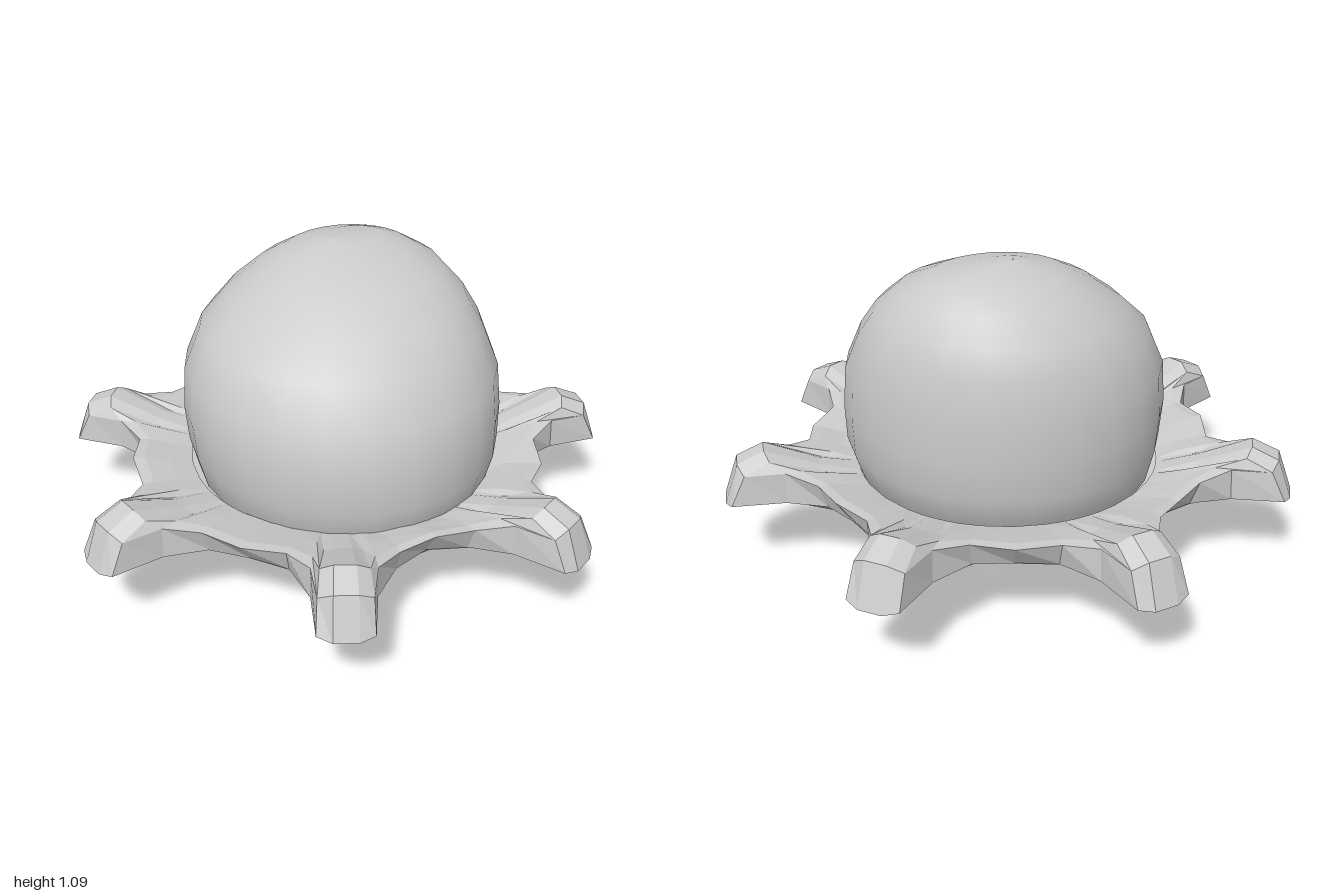
import * as THREE from 'three';

const CENTRE_Z = -0.05;

// Joins closed rings of [x, y, z] points, listed from the bottom up, facing outward.
function loft(rings) {
  const n = rings[0].length, index = [];
  for (let k = 0; k < rings.length - 1; k++) {
    for (let i = 0; i < n; i++) {
      const j = (i + 1) % n, a = k * n, b = a + n;
      index.push(a + i, a + j, b + i, a + j, b + j, b + i);
    }
  }
  const geometry = new THREE.BufferGeometry();
  geometry.setAttribute('position', new THREE.Float32BufferAttribute(rings.flat(2), 3));
  geometry.setIndex(index);
  geometry.computeVertexNormals();
  return geometry;
}

// Oval ring between the given x and z limits.
function oval([y, x0, x1, z0, z1]) {
  const ring = [];
  for (let i = 0; i < 24; i++) {
    const a = (i / 24) * Math.PI * 2;
    ring.push([
      (x0 + x1) / 2 + ((x1 - x0) / 2) * Math.sin(a), y,
      (z0 + z1) / 2 + ((z1 - z0) / 2) * Math.cos(a)]);
  }
  return ring;
}

// Leaning egg-shaped body: y, x limits, z limits
const bodySections = [
  [0.005, -0.002, 0.002, -0.032, -0.028],
  [0.013, -0.13, 0.11, -0.19, 0.08],
  [0.05, -0.22, 0.24, -0.28, 0.2],
  [0.13, -0.34, 0.41, -0.38, 0.31],
  [0.2, -0.42, 0.49, -0.47, 0.39],
  [0.3, -0.51, 0.56, -0.56, 0.46],
  [0.42, -0.54, 0.585, -0.6, 0.49],
  [0.55, -0.55, 0.58, -0.61, 0.5],
  [0.7, -0.545, 0.555, -0.605, 0.485],
  [0.83, -0.51, 0.46, -0.58, 0.41],
  [0.92, -0.46, 0.37, -0.54, 0.3],
  [1.0, -0.38, 0.25, -0.48, 0.18],
  [1.05, -0.3, 0.12, -0.4, 0.07],
  [1.08, -0.2, -0.02, -0.31, -0.05],
  [1.09, -0.117, -0.113, -0.122, -0.118],
];

// Arms going round from the front: direction angle, length, radius of the valley after it
const arms = [
  [0, 1.02, 0.74],
  [0.905, 1.0, 0.7],
  [1.785, 1.01, 0.74],
  [2.68, 0.995, 0.72],
  [-2.68, 0.995, 0.74],
  [-1.785, 1.01, 0.7],
  [-0.905, 1.0, 0.74],
];

// Outline of one arm: distance back from the tip, sideways offset, lower height, upper height
const armOutline = [
  [0.3, -0.18, 0.285, 0.37],
  [0.2, -0.105, 0.28, 0.39],
  [0.02, -0.09, 0.28, 0.385],
  [0, -0.04, 0.27, 0.41],
  [0, 0.04, 0.27, 0.41],
  [0.02, 0.09, 0.28, 0.385],
  [0.2, 0.105, 0.28, 0.39],
  [0.3, 0.18, 0.285, 0.37],
];

// Star outline as polar points: angle, lower radius, lower height, upper radius, upper height
function starOutline() {
  const points = [];
  arms.forEach(([angle, length, valley], i) => {
    for (const [back, side, low, top] of armOutline) {
      const f = length - back, r = Math.hypot(f, side);
      const undercut = back === 0.3 ? 0.035 : 0;
      const inset = back < 0.1 ? 0.05 : 0.005;
      points.push([angle + Math.atan2(side, f), r - undercut, low, r - inset, top]);
    }
    let next = arms[(i + 1) % arms.length][0];
    if (next < angle) next += Math.PI * 2;
    points.push([(angle + next) / 2, valley - 0.06, 0.29, valley, 0.37 + 0.015 * Math.sin(i * 2.3)]);
  });
  return points;
}

export function createModel() {
  const group = new THREE.Group();
  const add = (name, geometry, flatShading) => {
    const material = new THREE.MeshStandardMaterial({
      color: 0xcccccc, flatShading, side: THREE.DoubleSide });
    const mesh = new THREE.Mesh(geometry, material);
    mesh.name = name;
    group.add(mesh);
  };

  add('body', loft(bodySections.map(oval)), false);

  // Seven-armed skirt: dished underside, undercut rim, arched arms, then back in to the body
  const outline = starOutline();
  const ring = (rule) => outline.map((p) => {
    const [r, y] = rule(p);
    return [r * Math.sin(p[0]), y, CENTRE_Z + r * Math.cos(p[0])];
  });
  add('skirtWithArms', loft([
    ring(() => [0.4, 0.178]),
    ring(() => [0.58, 0.225]),
    ring(([, r, low]) => [Math.min(r, 0.78), Math.min(low, 0.268 + (low - 0.27))]),
    ring(([, r, low]) => [r, low]),
    ring(([, , , r, top]) => [r, top]),
    ring(([, , , r, top]) => [r - (r - 0.58) * 0.25, top + (r > 0.9 ? 0.04 : 0)]),
    ring(([, , , r, top]) => [0.6 + (r - 0.7) * 0.3, 0.35 + (top - 0.37) * 0.6]),
    ring(() => [0.53, 0.33]),
  ]), true);

  return group;
}
